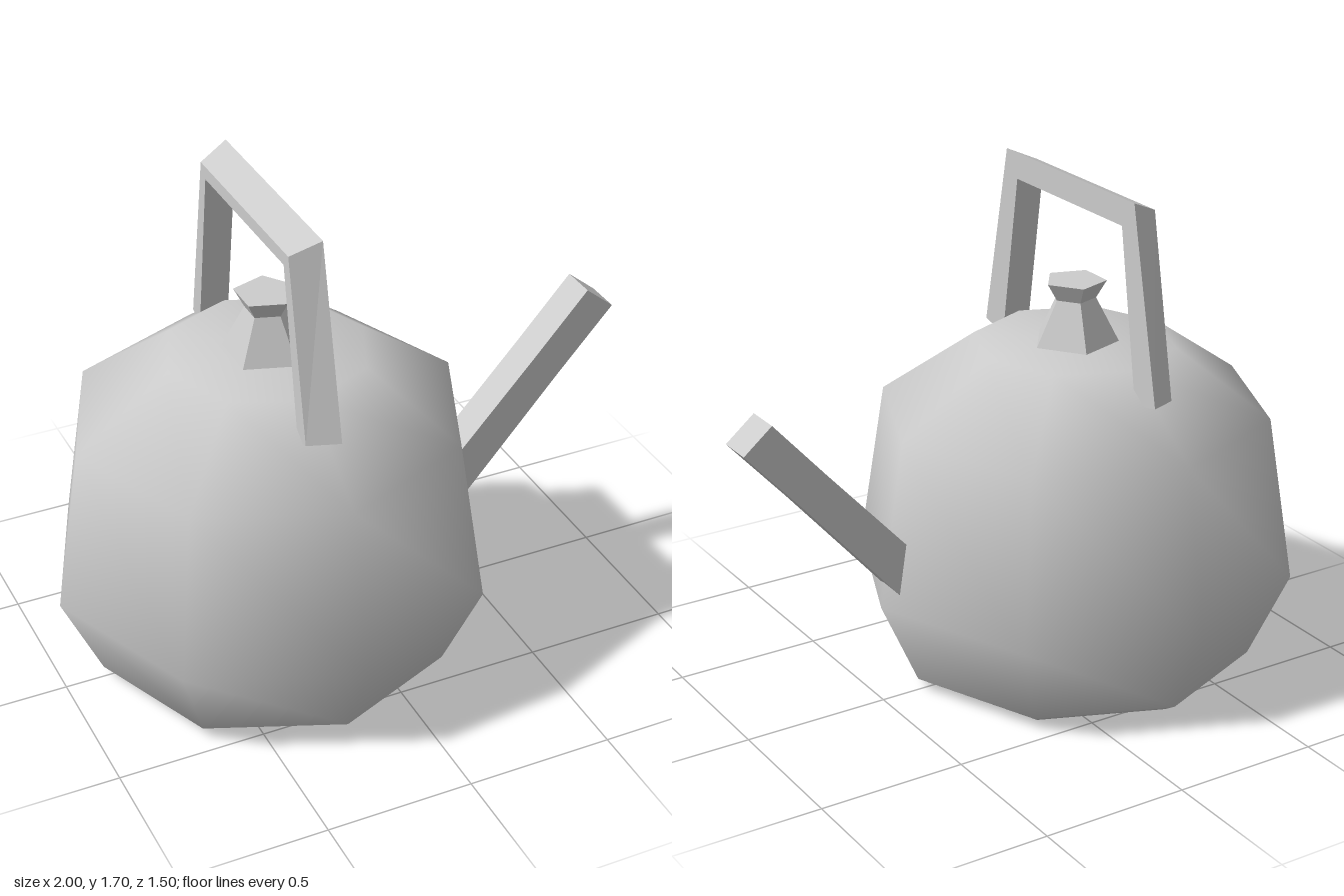
import * as THREE from 'three';

const grey = new THREE.MeshStandardMaterial({ color: 0xcccccc });
grey.name = 'lightGrey';

const AXIS_X = -0.25; // centre line of body, lid knob and handle

// Lathe around the y axis from [radius, height] pairs
function lathe(profile, sides) {
  return new THREE.LatheGeometry(profile.map(([r, y]) => new THREE.Vector2(r, y)), sides);
}

// Flat-faced bar joining four-cornered cross-sections, closed at both ends
function bar(sections) {
  const pos = [];
  const quad = (a, b, c, d) => [a, b, c, a, c, d].forEach((p) => pos.push(...p));
  for (let i = 0; i < sections.length - 1; i++) {
    const s = sections[i], t = sections[i + 1];
    for (let j = 0; j < 4; j++) {
      const k = (j + 1) % 4;
      quad(s[j], s[k], t[k], t[j]);
    }
  }
  quad(...[...sections[0]].reverse());
  quad(...sections[sections.length - 1]);
  const g = new THREE.BufferGeometry();
  g.setAttribute('position', new THREE.Float32BufferAttribute(pos, 3));
  g.computeVertexNormals();
  return g;
}

export function createModel() {
  const group = new THREE.Group();
  group.name = 'kettle';
  const add = (name, geometry, x = 0) => {
    const mesh = new THREE.Mesh(geometry, grey);
    mesh.name = name;
    mesh.position.x = x;
    group.add(mesh);
    return mesh;
  };

  // Smooth eight-sided body
  add('body', lathe([
    [0, 0], [0.56, 0.005], [0.615, 0.04], [0.75, 0.34],
    [0.66, 0.905], [0.34, 1.13], [0, 1.13],
  ], 8), AXIS_X);

  // Faceted five-sided lid knob, one corner towards the spout
  const knob = lathe([[0.15, 1.125], [0.07, 1.28], [0.105, 1.34], [0, 1.34]], 5).toNonIndexed();
  knob.computeVertexNormals();
  add('lidKnob', knob, AXIS_X).rotation.y = Math.PI / 2;

  // Handle: outer face slants inwards on the side away from the spout
  const handleSection = ([oz, oy], [iz, iy], [lz, ly]) => [
    [-0.22, oy, oz], [-0.22, iy, iz], [-0.32, iy, iz], [-0.32, ly, lz],
  ];
  const foot = (s) => handleSection([0.505 * s, 1.06], [0.395 * s, 1.035], [0.455 * s, 1.05]);
  const corner = (s) => handleSection([0.37 * s, 1.7], [0.305 * s, 1.61], [0.34 * s, 1.655]);
  add('handle', bar([foot(1), corner(1), corner(-1), foot(-1)]));

  // Slightly bent square spout, rooted inside the body
  const spoutSection = ([ux, uy], [lx, ly]) => [
    [ux, uy, 0.062], [lx, ly, 0.062], [lx, ly, -0.062], [ux, uy, -0.062],
  ];
  add('spout', bar([
    spoutSection([0.32, 0.45], [0.40, 0.33]),
    spoutSection([0.714, 0.885], [0.80, 0.79]),
    spoutSection([0.9, 1.095], [1.0, 1.013]),
  ]));

  return group;
}
